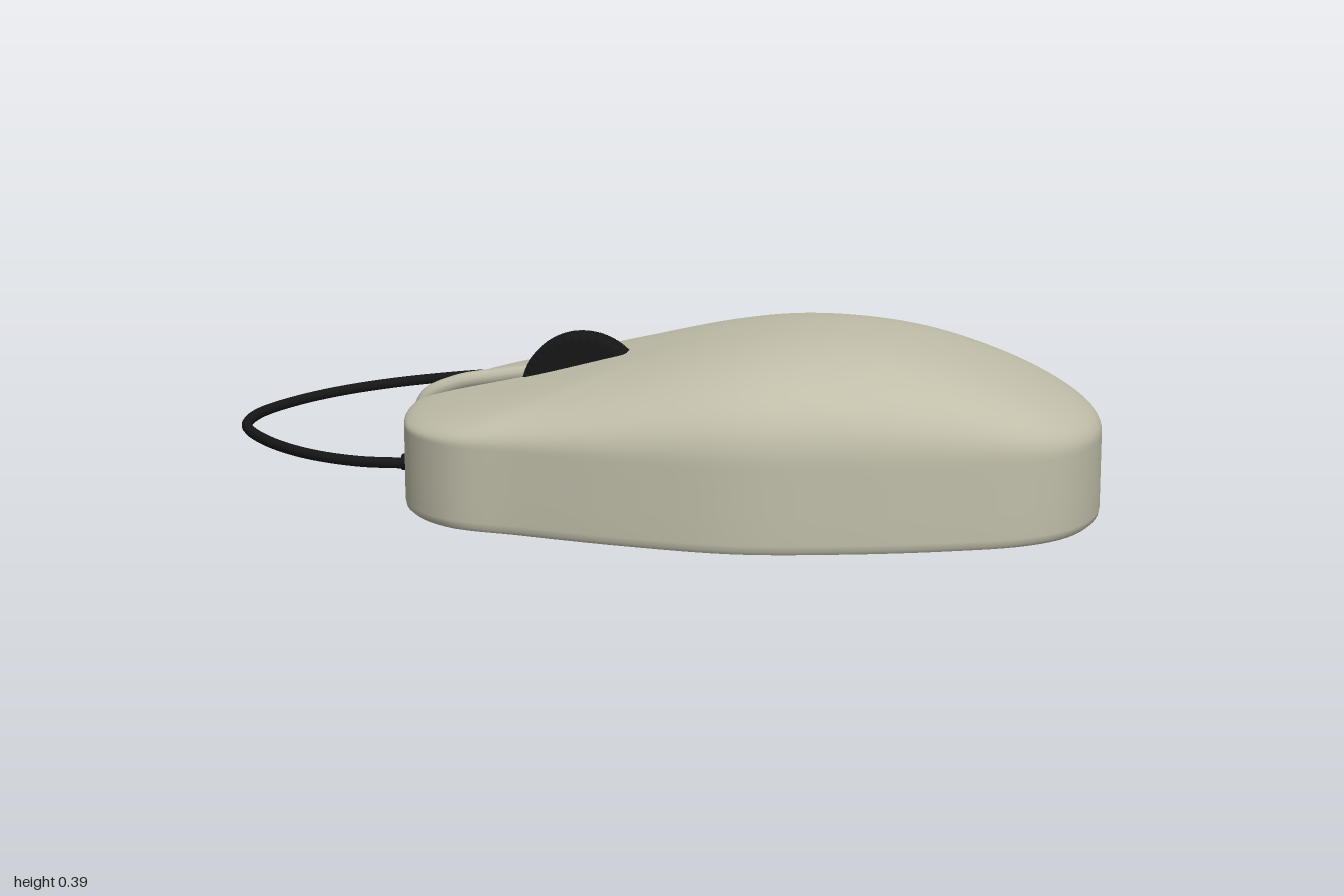
import * as THREE from 'three';

const shellMat = new THREE.MeshStandardMaterial({ color: 0xc0bea9 });
const darkMat = new THREE.MeshStandardMaterial({ color: 0x161616 });

// The mouse is turned on the desk: "along" runs from the wheel toward the palm end
const wheelAt = { x: -0.365, z: -0.03 };
const along = { x: 0.48, z: 0.877 };
const distAlong = (x, z) => (x - wheelAt.x) * along.x + (z - wheelAt.z) * along.z;

// Height of the back, at even steps from front to palm end
const crest = new THREE.SplineCurve(
  [0.235, 0.25, 0.282, 0.327, 0.37, 0.393, 0.39, 0.36, 0.31, 0.25]
    .map((y, i) => new THREE.Vector2(-0.5 + i * 0.2, y)));
const crestHeight = (t) => crest.getPoint(THREE.MathUtils.clamp((t + 0.5) / 1.8, 0, 1)).y;

// Footprint (x, z)
const outline = new THREE.CatmullRomCurve3([
  [-0.31, -0.425], [-0.21, -0.4], [-0.12, -0.32], [0, -0.19], [0.13, -0.03], [0.25, 0.15],
  [0.33, 0.37], [0.38, 0.62], [0.35, 0.78], [0.26, 0.9], [0.13, 0.98], [0, 1], [-0.11, 0.965],
  [-0.25, 0.855], [-0.4, 0.705], [-0.54, 0.53], [-0.64, 0.31], [-0.72, 0.08], [-0.768, -0.07],
  [-0.74, -0.2], [-0.65, -0.3], [-0.54, -0.37], [-0.43, -0.41],
].map(([x, z]) => new THREE.Vector3(x, 0, z)), true, 'centripetal');

const CX = -0.19, CZ = 0.29, SHOULDER = 0.18, N = 144, POWER = 2.5;

function surfaceY(x, z, dome) {
  return SHOULDER + (crestHeight(distAlong(x, z)) - SHOULDER) * dome;
}

// Shell: vertical wall, then footprint rings shrinking into a soft dome
function shellGeometry() {
  const foot = outline.getSpacedPoints(N).slice(0, N);
  const rings = [{ k: 0.985, y: 0 }, { k: 0.997, y: 0.008 }, { k: 1, y: 0.02 },
    { k: 1, y: 0.08 }, { k: 1, y: 0.14 }];
  const steps = 36;
  for (let i = 0; i <= steps; i++) {
    const a = (i / steps) * Math.PI / 2;
    rings.push({
      k: Math.max(0.001, Math.pow(Math.max(0, Math.cos(a)), 2 / POWER)),
      dome: Math.pow(Math.sin(a), 2 / POWER),
    });
  }
  const pos = [], index = [];
  rings.forEach((r, j) => {
    for (let i = 0; i < N; i++) {
      const x = CX + (foot[i].x - CX) * r.k, z = CZ + (foot[i].z - CZ) * r.k;
      pos.push(x, r.dome === undefined ? r.y : surfaceY(x, z, r.dome), z);
      if (j === 0) continue;
      const n = (i + 1) % N, lo = (j - 1) * N, hi = j * N;
      index.push(lo + i, hi + i, lo + n, lo + n, hi + i, hi + n);
    }
  });
  const g = new THREE.BufferGeometry();
  g.setAttribute('position', new THREE.Float32BufferAttribute(pos, 3));
  g.setIndex(index);
  g.computeVertexNormals();
  return g;
}

// Flat underside, turned to face down
function baseGeometry() {
  const shape = new THREE.Shape(outline.getSpacedPoints(N).slice(0, N)
    .map((p) => new THREE.Vector2(CX + (p.x - CX) * 0.985, CZ + (p.z - CZ) * 0.985)));
  return new THREE.ShapeGeometry(shape).rotateX(Math.PI / 2);
}

// Finely toothed wheel with bevelled sides, axle along local x
function wheelGeometry() {
  const teeth = 44, pts = [];
  for (let i = 0; i < teeth * 4; i++) {
    const a = (i / (teeth * 4)) * Math.PI * 2, r = i % 4 < 2 ? 0.126 : 0.121;
    pts.push(new THREE.Vector2(Math.cos(a) * r, Math.sin(a) * r));
  }
  return new THREE.ExtrudeGeometry(new THREE.Shape(pts), {
    depth: 0.03, bevelEnabled: true, bevelSize: 0.014, bevelThickness: 0.014, bevelSegments: 3,
  }).translate(0, 0, -0.015).rotateY(Math.PI / 2);
}

function tube(points, radius, segments) {
  const path = new THREE.CatmullRomCurve3(points.map((p) => new THREE.Vector3(...p)));
  return new THREE.TubeGeometry(path, segments, radius, 10);
}

export function createModel() {
  const model = new THREE.Group();
  const add = (name, geometry, material) => {
    const mesh = new THREE.Mesh(geometry, material);
    mesh.name = name;
    model.add(mesh);
    return mesh;
  };

  add('shell', shellGeometry(), shellMat);
  add('base', baseGeometry(), shellMat);

  const wheel = add('scrollWheel', wheelGeometry(), darkMat);
  wheel.position.set(wheelAt.x, 0.222, wheelAt.z);
  wheel.rotation.y = Math.atan2(along.x, along.z);

  // Raised seam from the wheel over the front edge down to the cable
  add('cableRidge', tube([
    [-0.41, 0.272, -0.11], [-0.46, 0.255, -0.2], [-0.505, 0.236, -0.28],
    [-0.538, 0.2, -0.34], [-0.548, 0.13, -0.358], [-0.548, 0.05, -0.358],
  ], 0.018, 40), shellMat);

  // Strain relief where the cable leaves the shell
  const relief = add('strainRelief', new THREE.CylinderGeometry(0.018, 0.024, 0.05, 16), darkMat);
  relief.position.set(-0.56, 0.052, -0.365);
  relief.quaternion.setFromUnitVectors(new THREE.Vector3(0, 1, 0),
    new THREE.Vector3(-along.x, 0, -along.z).normalize());

  // Cable looping round the front and trailing back beside the mouse
  const cablePath = [
    [-0.54, -0.33], [-0.575, -0.385], [-0.625, -0.47], [-0.65, -0.6], [-0.628, -0.76],
    [-0.56, -0.9], [-0.46, -0.965], [-0.3, -0.987], [-0.13, -0.965], [0.05, -0.895],
    [0.2, -0.78], [0.3, -0.6], [0.4, -0.37], [0.5, -0.135], [0.6, 0.08], [0.69, 0.23], [0.75, 0.288],
  ];
  add('cable', tube(cablePath.map(([x, z], i) =>
    [x, 0.05 + 0.006 * Math.sin(Math.max(0, (i - 9) / 7) * Math.PI), z]), 0.0125, 160), darkMat);
  const tip = add('cableEnd', new THREE.SphereGeometry(0.0125, 12, 8), darkMat);
  tip.position.set(0.75, 0.05, 0.288);

  return model;
}
